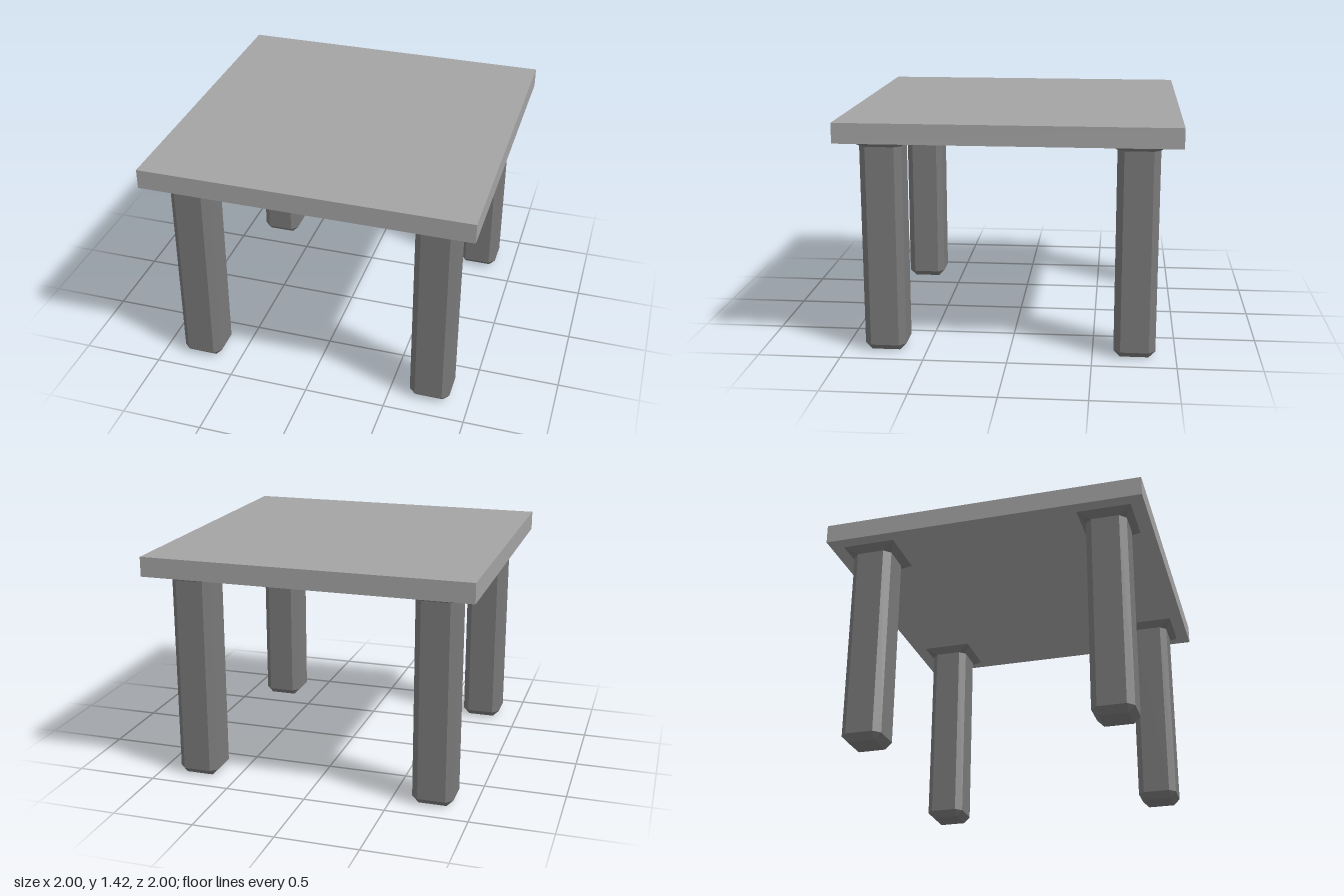
import * as THREE from 'three';

const TOP_Y = 1.3, TOP_THICK = 0.12;
const HALF = 0.125, BEVEL = 0.04, OFFSET = 0.752;

// Eight points around a square of half width h with corners cut by c
function ring(y, h, c) {
  const points = [];
  for (const [sx, sz] of [[1, 1], [-1, 1], [-1, -1], [1, -1]]) {
    const pair = [
      new THREE.Vector3(sx * h, y, sz * (h - c)),
      new THREE.Vector3(sx * (h - c), y, sz * h),
    ];
    points.push(...(sx * sz > 0 ? pair : pair.reverse()));
  }
  return points;
}

// Leg: chamfered foot, bevelled shaft, collar flaring out to a square
function legGeometry() {
  const rings = [
    ring(0, HALF - BEVEL, 0),
    ring(BEVEL, HALF, BEVEL),
    ring(TOP_Y - BEVEL, HALF, BEVEL),
    ring(TOP_Y, HALF + BEVEL, 0),
  ];
  const triangles = [];
  const add = (a, b, c) => {
    // corners merge where the ring is square, so empty triangles are skipped
    if (!a.equals(b) && !b.equals(c) && !c.equals(a)) triangles.push(a, b, c);
  };
  for (let r = 0; r < rings.length - 1; r++) {
    for (let i = 0; i < 8; i++) {
      const j = (i + 1) % 8;
      const [a, b, c, d] = [rings[r][i], rings[r][j], rings[r + 1][j], rings[r + 1][i]];
      add(a, d, c);
      add(a, c, b);
    }
  }
  // sole
  const foot = rings[0];
  add(foot[0], foot[2], foot[4]);
  add(foot[0], foot[4], foot[6]);

  const geometry = new THREE.BufferGeometry().setFromPoints(triangles);
  geometry.computeVertexNormals();
  return geometry;
}

export function createModel() {
  const model = new THREE.Group();
  model.name = 'table';
  const topMaterial = new THREE.MeshStandardMaterial({ color: 0xa4a4a4, flatShading: true });
  const legMaterial = new THREE.MeshStandardMaterial({ color: 0x797979, flatShading: true });

  // Table top
  const top = new THREE.Mesh(new THREE.BoxGeometry(2, TOP_THICK, 2), topMaterial);
  top.name = 'tableTop';
  top.position.y = TOP_Y + TOP_THICK / 2;
  model.add(top);

  // Four darker legs
  const geometry = legGeometry();
  for (const [side, x] of [['Left', 1], ['Right', -1]]) {
    for (const [end, z] of [['front', 1], ['back', -1]]) {
      const leg = new THREE.Mesh(geometry, legMaterial);
      leg.name = `${end}${side}Leg`;
      leg.position.set(x * OFFSET, 0, z * OFFSET);
      model.add(leg);
    }
  }
  return model;
}
